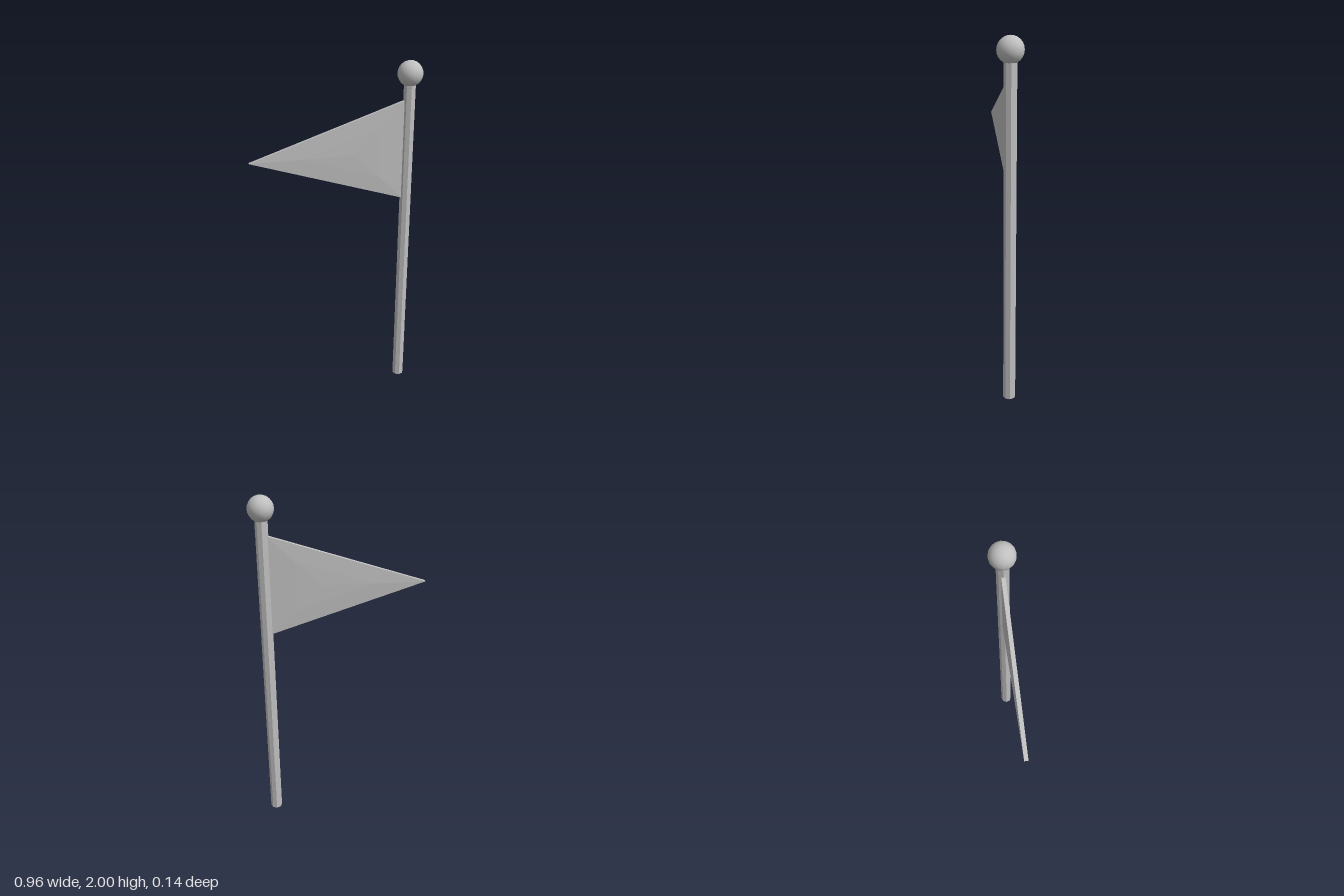
import * as THREE from 'three';

const POLE_X = 0.41;

// Pennant as triangular rings scaled about the centroid, so both faces swell slightly.
function pennantGeometry() {
  const corners = [[-0.48, 1.485], [0.39, 1.223], [0.39, 1.788]]; // counter-clockwise from the front
  const cx = corners.reduce((s, c) => s + c[0], 0) / 3;
  const cy = corners.reduce((s, c) => s + c[1], 0) / 3;
  const rings = [[0, 0.0165], [0.5, 0.015], [1, 0.011], [1, -0.011], [0.5, -0.015], [0, -0.0165]];
  const positions = [];
  const point = (r, k) => {
    const [scale, z] = rings[r];
    const [x, y] = corners[k % 3];
    return [cx + (x - cx) * scale, cy + (y - cy) * scale, z];
  };
  for (let r = 0; r < rings.length - 1; r++) {
    for (let k = 0; k < 3; k++) {
      const a = point(r, k), b = point(r, k + 1);
      const c = point(r + 1, k), d = point(r + 1, k + 1);
      if (rings[r + 1][0] > 0) positions.push(...a, ...c, ...d);
      else positions.push(...a, ...c, ...b);
      if (rings[r][0] > 0 && rings[r + 1][0] > 0) positions.push(...a, ...d, ...b);
    }
  }
  const geometry = new THREE.BufferGeometry();
  geometry.setAttribute('position', new THREE.Float32BufferAttribute(positions, 3));
  geometry.computeVertexNormals();
  return geometry;
}

export function createModel() {
  const group = new THREE.Group();
  group.name = 'pennantOnPole';
  const grey = new THREE.MeshStandardMaterial({ color: 0xc0c0c0 });
  grey.name = 'light grey';

  const add = (name, geometry, x = 0, y = 0) => {
    const mesh = new THREE.Mesh(geometry, grey);
    mesh.name = name;
    mesh.position.set(x, y, 0);
    group.add(mesh);
  };

  // Eight-sided pole with a shallow pointed foot
  const profile = [[0, 0], [0.034, 0.014], [0.034, 1.9], [0, 1.9]].map(([r, y]) => new THREE.Vector2(r, y));
  const pole = new THREE.LatheGeometry(profile, 8).toNonIndexed();
  pole.computeVertexNormals();
  add('pole', pole, POLE_X);

  // Ball on top
  add('finial', new THREE.SphereGeometry(0.07, 16, 12), POLE_X, 1.93);

  // Triangular flag
  add('flag', pennantGeometry());

  return group;
}
